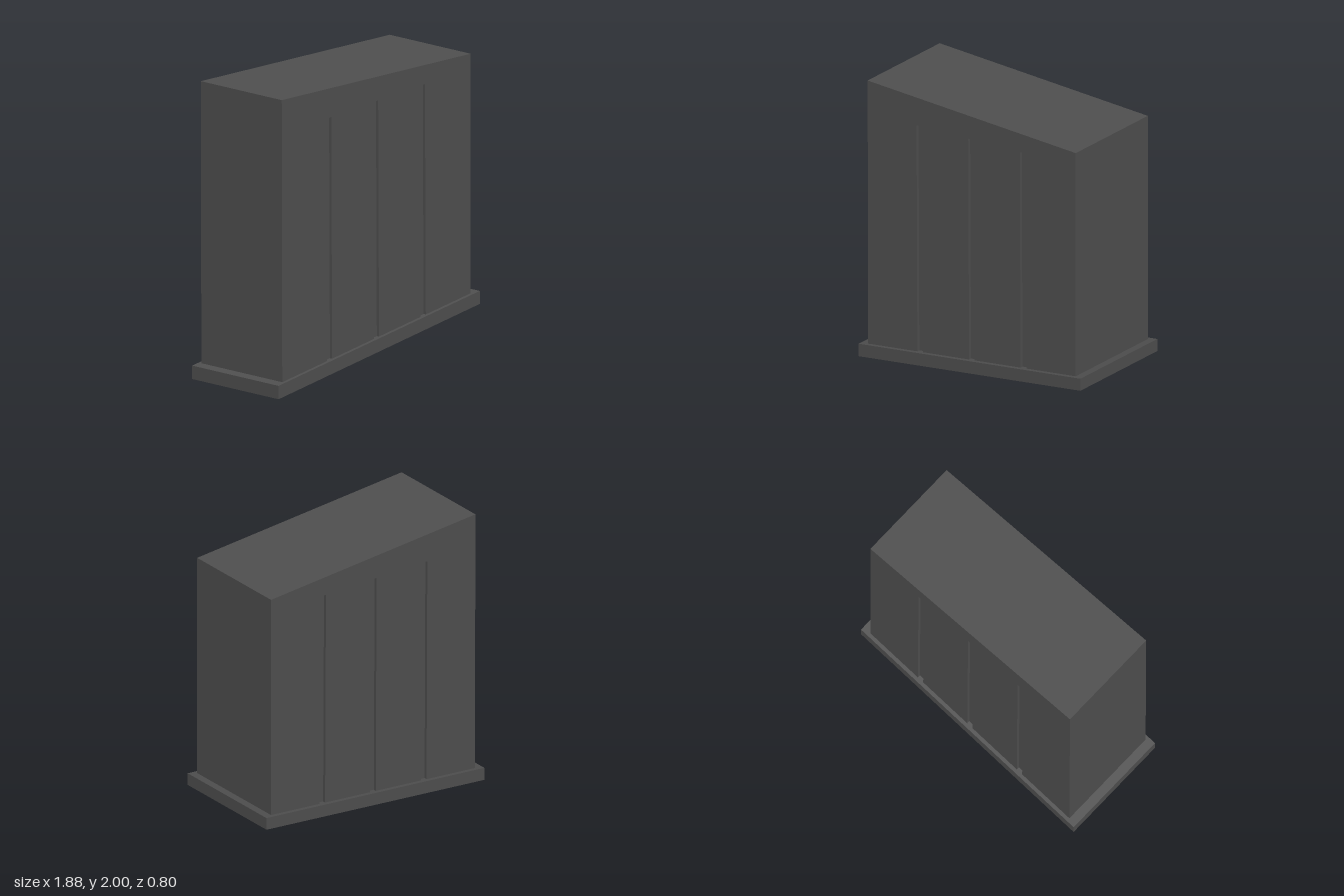
import * as THREE from 'three';

const HALF_DEPTH = 0.37;
const GROOVE_DEPTH = 0.02;

// Height of the sloping top of the base plate at x
const plateTop = (x) => 0.09 + 0.165 * (x + 0.94);

// Extrudes an outline in x/y between two depths
function slab(name, points, z0, z1, material) {
  const shape = new THREE.Shape(points.map(([x, y]) => new THREE.Vector2(x, y)));
  const geometry = new THREE.ExtrudeGeometry(shape, { depth: z1 - z0, bevelEnabled: false });
  geometry.translate(0, 0, z0);
  const mesh = new THREE.Mesh(geometry, material);
  mesh.name = name;
  return mesh;
}

export function createModel() {
  const group = new THREE.Group();
  group.name = 'slopedBox';
  const darkGrey = new THREE.MeshStandardMaterial({ color: 0x505050 });
  darkGrey.name = 'dark grey';

  // Body outline: flat top, sloping bottom
  const left = -0.88, right = 0.875;
  const bottomLeft = [left, plateTop(left)];
  const bottomRight = [right, plateTop(right)];
  const top = [[right, 2], [left - 0.005, 1.997]];

  // Solid core, as deep as the groove floors
  const inner = HALF_DEPTH - GROOVE_DEPTH;
  group.add(slab('bodyCore', [bottomLeft, bottomRight, ...top], -inner, inner, darkGrey));

  // Side panels, notched from below by three grooves that end higher to the right
  const notches = [[-0.44, 1.80], [-0.003, 1.835], [0.433, 1.868]].flatMap(([x, y]) => {
    const a = x - 0.024, b = x + 0.024;
    return [[a, plateTop(a)], [a - 0.007, y - 0.003], [b - 0.007, y + 0.003], [b, plateTop(b)]];
  });
  const panel = [bottomLeft, ...notches, bottomRight, ...top];
  group.add(slab('frontPanel', panel, inner, HALF_DEPTH, darkGrey));
  group.add(slab('backPanel', panel, -HALF_DEPTH, -inner, darkGrey));

  // Sloping base plate with a rim all round
  const plate = [[-0.94, 0], [0.935, 0.312], [0.935, 0.399], [-0.94, 0.09]];
  group.add(slab('basePlate', plate, -0.395, 0.395, darkGrey));

  // Very slight turn of the whole body
  group.rotation.y = -0.003;
  return group;
}
